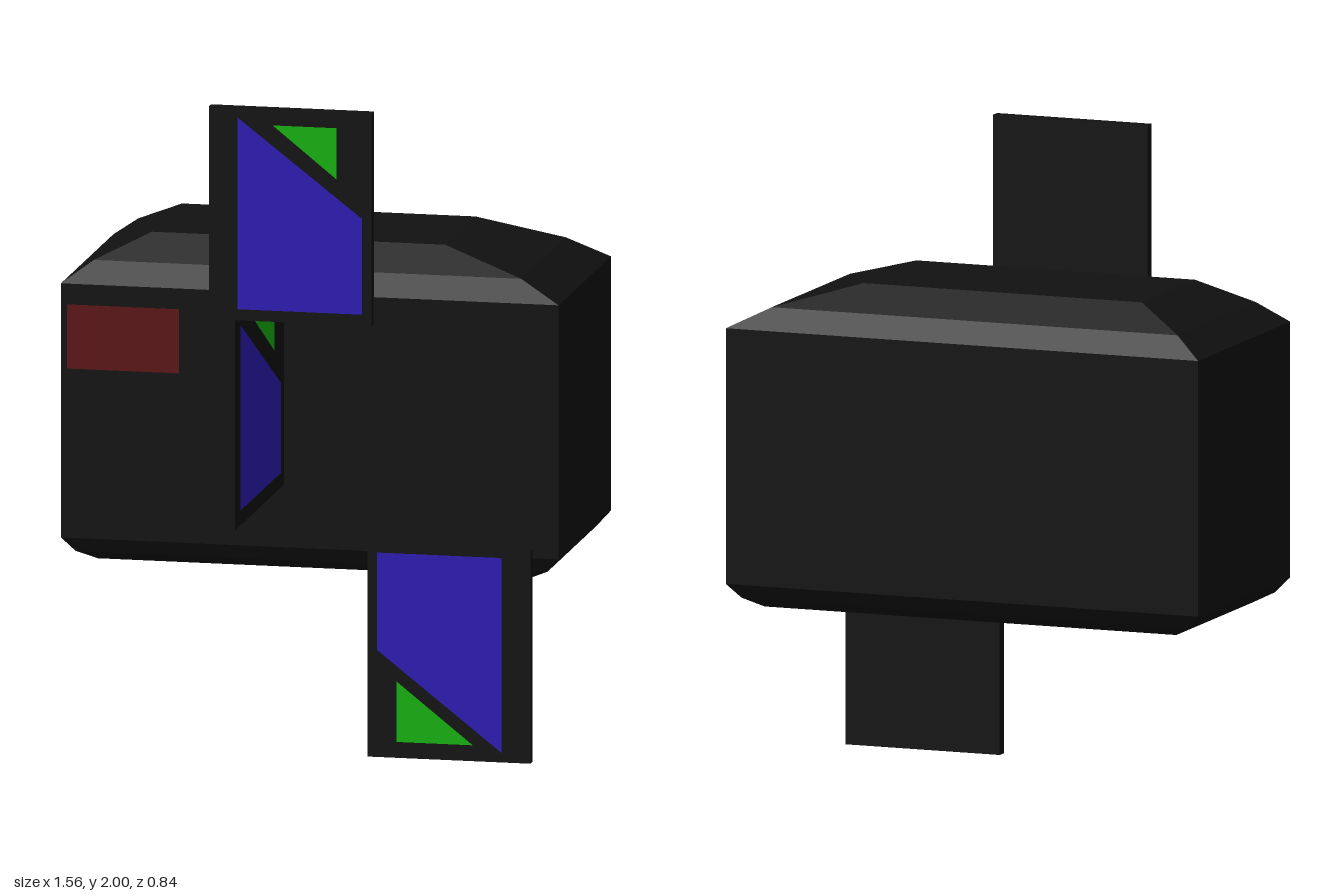
import * as THREE from 'three';

const mat = (color) => new THREE.MeshStandardMaterial({ color, flatShading: true, side: THREE.DoubleSide });

export function createModel() {
  const model = new THREE.Group();
  const black = mat(0x111111), blue = mat(0x2d1bb4), green = mat(0x17b30f), red = mat(0x5c1414);

  const add = (name, geometry, material, parent = model) => {
    const mesh = new THREE.Mesh(geometry, material);
    mesh.name = name;
    parent.add(mesh);
    return mesh;
  };
  const shapeOf = (pts) => new THREE.Shape(pts.map(([x, y]) => new THREE.Vector2(x, y)));
  const box = (x0, x1, y0, y1, z0, z1) =>
    new THREE.BoxGeometry(x1 - x0, y1 - y0, z1 - z0)
      .translate((x0 + x1) / 2, (y0 + y1) / 2, (z0 + z1) / 2);

  // Shell: rectangular sections stacked upwards [y, x0, x1, z0, z1]
  const rings = [
    [0.55, -0.68, 0.68, -0.35, 0.265],
    [0.58, -0.74, 0.74, -0.39, 0.31],
    [0.625, -0.78, 0.78, -0.42, 0.335],
    [1.42, -0.78, 0.78, -0.42, 0.335],
    [1.485, -0.69, 0.65, -0.365, 0.275],
    [1.56, -0.53, 0.39, -0.26, 0.175],
  ].map(([y, x0, x1, z0, z1]) => [[x0, y, z1], [x1, y, z1], [x1, y, z0], [x0, y, z0]]);
  const pos = [];
  const quad = (a, b, c, d) => pos.push(...a, ...b, ...c, ...a, ...c, ...d);
  for (let i = 0; i < rings.length - 1; i++) {
    for (let j = 0; j < 4; j++) {
      if (i === 2 && j === 0) continue; // the front wall is made separately
      const k = (j + 1) % 4;
      quad(rings[i][j], rings[i][k], rings[i + 1][k], rings[i + 1][j]);
    }
  }
  quad(...rings[rings.length - 1]);
  quad(...[...rings[0]].reverse());
  const shell = new THREE.BufferGeometry();
  shell.setAttribute('position', new THREE.Float32BufferAttribute(pos, 3));
  shell.computeVertexNormals();
  add('shell', shell, black);

  // Front wall with the opening
  const [ox0, ox1, oy0, oy1] = [-0.235, 0.63, 0.67, 1.33];
  const wall = shapeOf([[-0.78, 0.625], [0.78, 0.625], [0.78, 1.42], [-0.78, 1.42]]);
  wall.holes.push(shapeOf([[ox0, oy0], [ox0, oy1], [ox1, oy1], [ox1, oy0]]));
  add('frontWall', new THREE.ShapeGeometry(wall).translate(0, 0, 0.335), black);

  // Compartment lining: a box without its front side
  const lining = box(ox0, ox1, oy0, oy1, -0.37, 0.335);
  const index = Array.from(lining.index.array);
  index.splice(24, 6);
  lining.setIndex(index);
  lining.clearGroups();
  add('compartment', lining, black);

  // Small red plate on the front
  add('redPlate', box(-0.76, -0.41, 1.155, 1.355, 0.33, 0.338), red);

  // Doors: a black board with a blue pane and a green triangle
  const door = (name, board, z, bluePts, greenPts) => {
    const group = new THREE.Group();
    group.name = name;
    model.add(group);
    add('board', box(...board, z - 0.034, z), black, group);
    add('bluePane', new THREE.ShapeGeometry(shapeOf(bluePts)).translate(0, 0, z + 0.002), blue, group);
    add('greenTriangle', new THREE.ShapeGeometry(shapeOf(greenPts)).translate(0, 0, z + 0.002), green, group);
  };
  door('upperDoor', [-0.31, 0.2, 1.335, 2], 0.364,
    [[-0.22, 1.37], [0.17, 1.37], [0.17, 1.67], [-0.22, 1.97]],
    [[-0.11, 1.95], [0.09, 1.79], [0.09, 1.95]]);
  door('lowerDoor', [0.2, 0.71, 0, 0.667], 0.42,
    [[0.23, 0.335], [0.62, 0.03], [0.62, 0.64], [0.23, 0.64]],
    [[0.29, 0.05], [0.53, 0.05], [0.29, 0.24]]);

  // Matching pane and triangle on the inner side wall, facing +x
  const inner = new THREE.Group();
  inner.name = 'innerSidePanel';
  inner.rotation.y = Math.PI / 2;
  inner.position.x = ox0 + 0.004;
  model.add(inner);
  add('bluePane', new THREE.ShapeGeometry(
    shapeOf([[-0.27, 0.72], [0.315, 0.72], [0.315, 1.0], [-0.27, 1.3]])), blue, inner);
  add('greenTriangle', new THREE.ShapeGeometry(
    shapeOf([[-0.08, 1.28], [0.22, 1.12], [0.22, 1.28]])), green, inner);

  return model;
}
